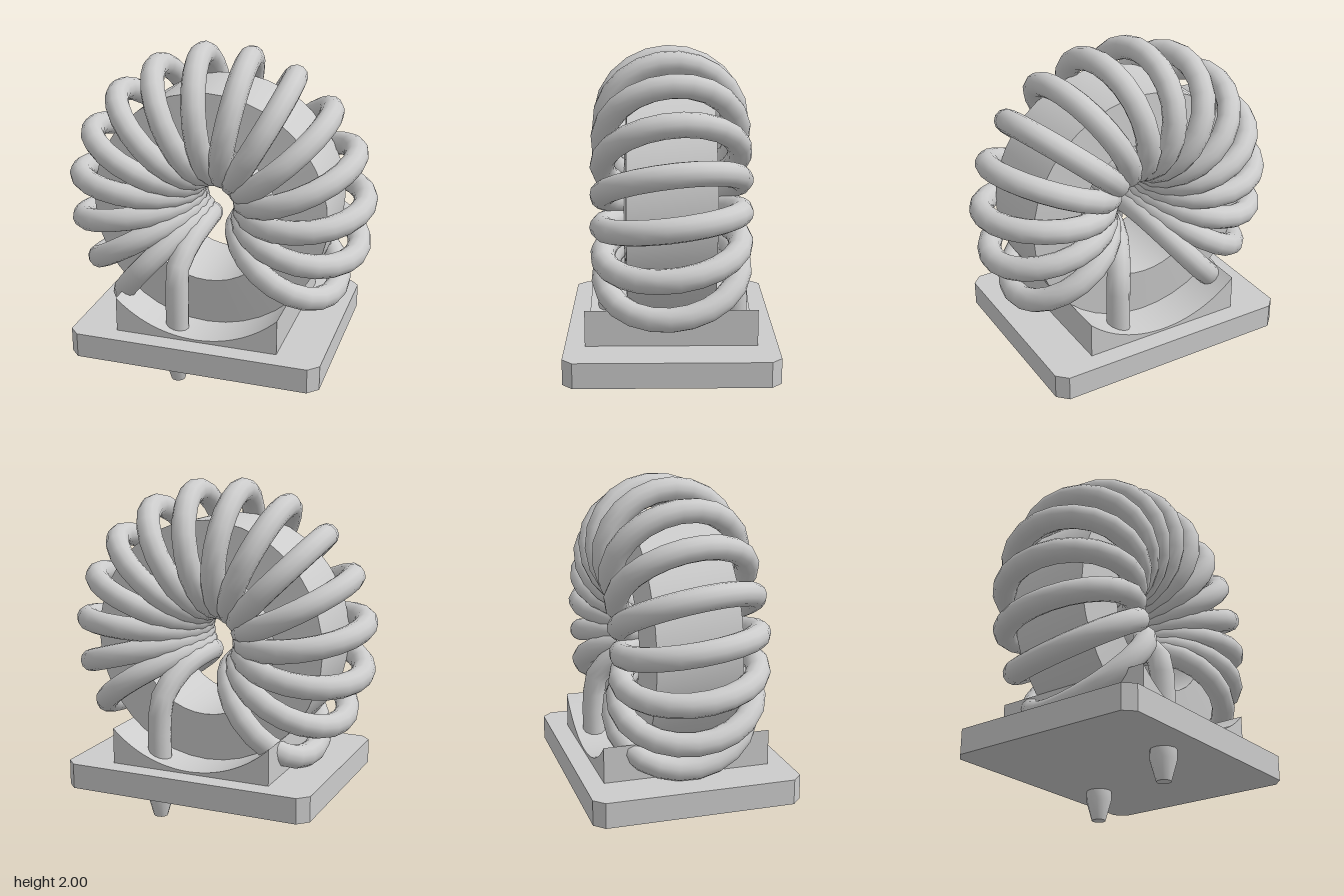
import * as THREE from 'three';
import { toCreasedNormals } from 'three/addons/utils/BufferGeometryUtils.js';

const CENTRE_Y = 1.06, CORE_R = 0.715, WIRE_R = 0.07;
const material = new THREE.MeshStandardMaterial({ color: 0xcccccc });

function addMesh(group, name, geometry) {
  const mesh = new THREE.Mesh(geometry, material);
  mesh.name = name;
  group.add(mesh);
  return mesh;
}

function extrude(shape, depth) {
  return new THREE.ExtrudeGeometry(shape, { depth, bevelEnabled: false, curveSegments: 20 });
}

// Mounting plate with clipped corners
function plateGeometry() {
  const x = 0.765, z = 0.617, c = 0.06;
  const corners = [[x, z - c], [x - c, z], [c - x, z], [-x, z - c], [-x, c - z], [c - x, -z], [x - c, -z], [x, c - z]];
  const shape = new THREE.Shape(corners.map(([a, b]) => new THREE.Vector2(a, b)));
  return extrude(shape, 0.15).rotateX(-Math.PI / 2).translate(0, 0.18, 0);
}

// Block hollowed out to cradle the core
function saddleGeometry() {
  const w = 0.495, angle = Math.acos(w / CORE_R);
  const shape = new THREE.Shape();
  shape.moveTo(-w, 0.33);
  shape.lineTo(w, 0.33);
  shape.absarc(0, CENTRE_Y, CORE_R, -angle, angle - Math.PI, true);
  shape.closePath();
  return toCreasedNormals(extrude(shape, 1).translate(0, 0, -0.5), 0.5);
}

// Ring core, its end faces slightly tapered
function coreGeometry() {
  const profile = [[0.43, -0.27], [CORE_R, -0.25], [CORE_R, 0.25], [0.43, 0.27], [0.43, -0.27]]
    .map(([r, y]) => new THREE.Vector2(r, y));
  return toCreasedNormals(new THREE.LatheGeometry(profile, 40).rotateX(Math.PI / 2), 0.5);
}

// One wire wound round the core, with a lead going down at each end
function windingGeometry() {
  const turns = 14, pitch = THREE.MathUtils.degToRad(18.8), first = THREE.MathUtils.degToRad(-34);
  const start = -Math.PI - 0.6, end = turns * 2 * Math.PI + Math.PI + 0.6;
  const steps = Math.round((end - start) / (2 * Math.PI) * 16);
  const points = [[0.245, 0.3, -0.38], [0.245, 0.6, -0.38], [0.23, 0.74, -0.36]]
    .map(p => new THREE.Vector3(...p));
  for (let i = 0; i <= steps; i++) {
    const t = start + (end - start) * i / steps;
    const phi = first + pitch * t / (2 * Math.PI);
    const r = 0.525 + 0.355 * Math.cos(t);
    points.push(new THREE.Vector3(r * Math.cos(phi), CENTRE_Y + r * Math.sin(phi), -0.39 * Math.sin(t)));
  }
  for (const p of [[-0.15, 0.73, 0.36], [-0.15, 0.6, 0.38], [-0.15, 0.3, 0.38]]) points.push(new THREE.Vector3(...p));
  const curve = new THREE.CatmullRomCurve3(points, false, 'centripetal');
  curve.arcLengthDivisions = 2000;
  return new THREE.TubeGeometry(curve, 340, WIRE_R, 12, false);
}

// Solder pin with a tapered tip
function pinGeometry() {
  const profile = [[0, 0], [0.042, 0], [0.076, 0.12], [0.076, 0.2]].map(([r, y]) => new THREE.Vector2(r, y));
  return toCreasedNormals(new THREE.LatheGeometry(profile, 12), 0.6);
}

export function createModel() {
  const model = new THREE.Group();
  model.name = 'toroidalInductor';
  addMesh(model, 'basePlate', plateGeometry());
  addMesh(model, 'saddle', saddleGeometry());
  addMesh(model, 'ringCore', coreGeometry()).position.y = CENTRE_Y;
  addMesh(model, 'wireWinding', windingGeometry());
  addMesh(model, 'frontPin', pinGeometry()).position.set(-0.15, 0, 0.38);
  addMesh(model, 'backPin', pinGeometry()).position.set(0.245, 0, -0.38);
  return model;
}
